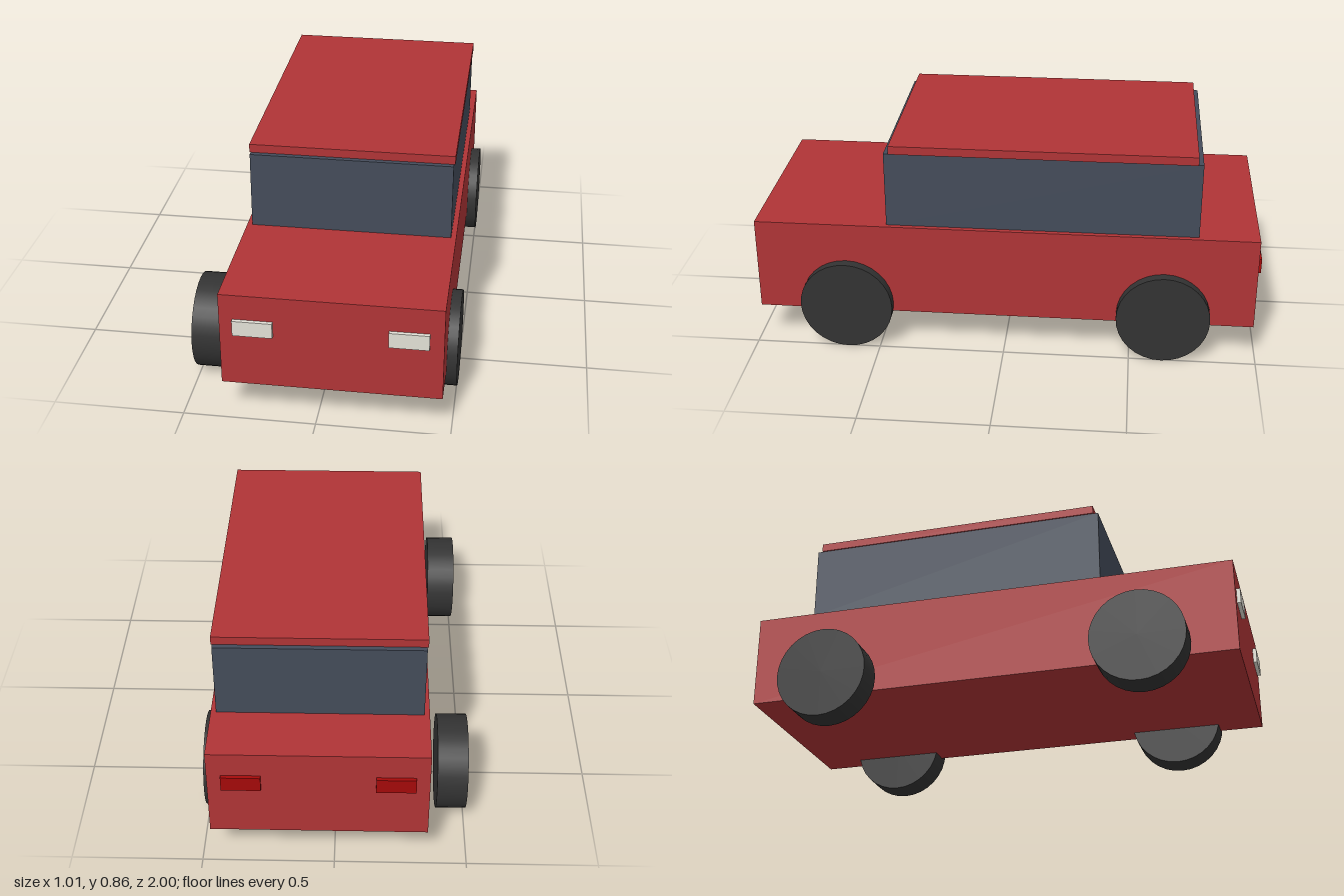
import * as THREE from 'three';

export function createModel() {
  const car = new THREE.Group();
  car.name = 'car';

  const paint = new THREE.MeshStandardMaterial({ color: 0xb03436 });
  const glass = new THREE.MeshStandardMaterial({ color: 0x444c5a });
  const rubber = new THREE.MeshStandardMaterial({ color: 0x333333 });
  const lamp = new THREE.MeshStandardMaterial({ color: 0xe2e0d6 });
  const redLamp = new THREE.MeshStandardMaterial({ color: 0xa50a0a });

  // Box given by its extents along each axis
  function box(name, material, [x0, x1], [y0, y1], [z0, z1]) {
    const mesh = new THREE.Mesh(new THREE.BoxGeometry(x1 - x0, y1 - y0, z1 - z0), material);
    mesh.position.set((x0 + x1) / 2, (y0 + y1) / 2, (z0 + z1) / 2);
    mesh.name = name;
    car.add(mesh);
  }

  // Body sits slightly to the left of the wheel track
  box('body', paint, [-0.35, 0.465], [0.149, 0.525], [-0.985, 0.985]);
  box('cabin', glass, [-0.33, 0.445], [0.525, 0.828], [-0.752, 0.463]);
  box('roof', paint, [-0.335, 0.45], [0.828, 0.861], [-0.732, 0.443]);

  // Lights at both ends
  for (const [side, x0, x1] of [['right', -0.3, -0.153], ['left', 0.267, 0.413]]) {
    box(side + 'Headlight', lamp, [x0, x1], [0.364, 0.425], [0.97, 1]);
    box(side + 'TailLight', redLamp, [x0, x1], [0.364, 0.425], [-1, -0.97]);
  }

  // Four wheels with their axles along x
  const wheel = new THREE.CylinderGeometry(0.184, 0.184, 0.117, 32).rotateZ(Math.PI / 2);
  for (const [side, x] of [['Right', -0.447], ['Left', 0.446]]) {
    for (const [end, z] of [['front', 0.628], ['rear', -0.628]]) {
      const mesh = new THREE.Mesh(wheel, rubber);
      mesh.position.set(x, 0.184, z);
      mesh.name = end + side + 'Wheel';
      car.add(mesh);
    }
  }

  return car;
}
